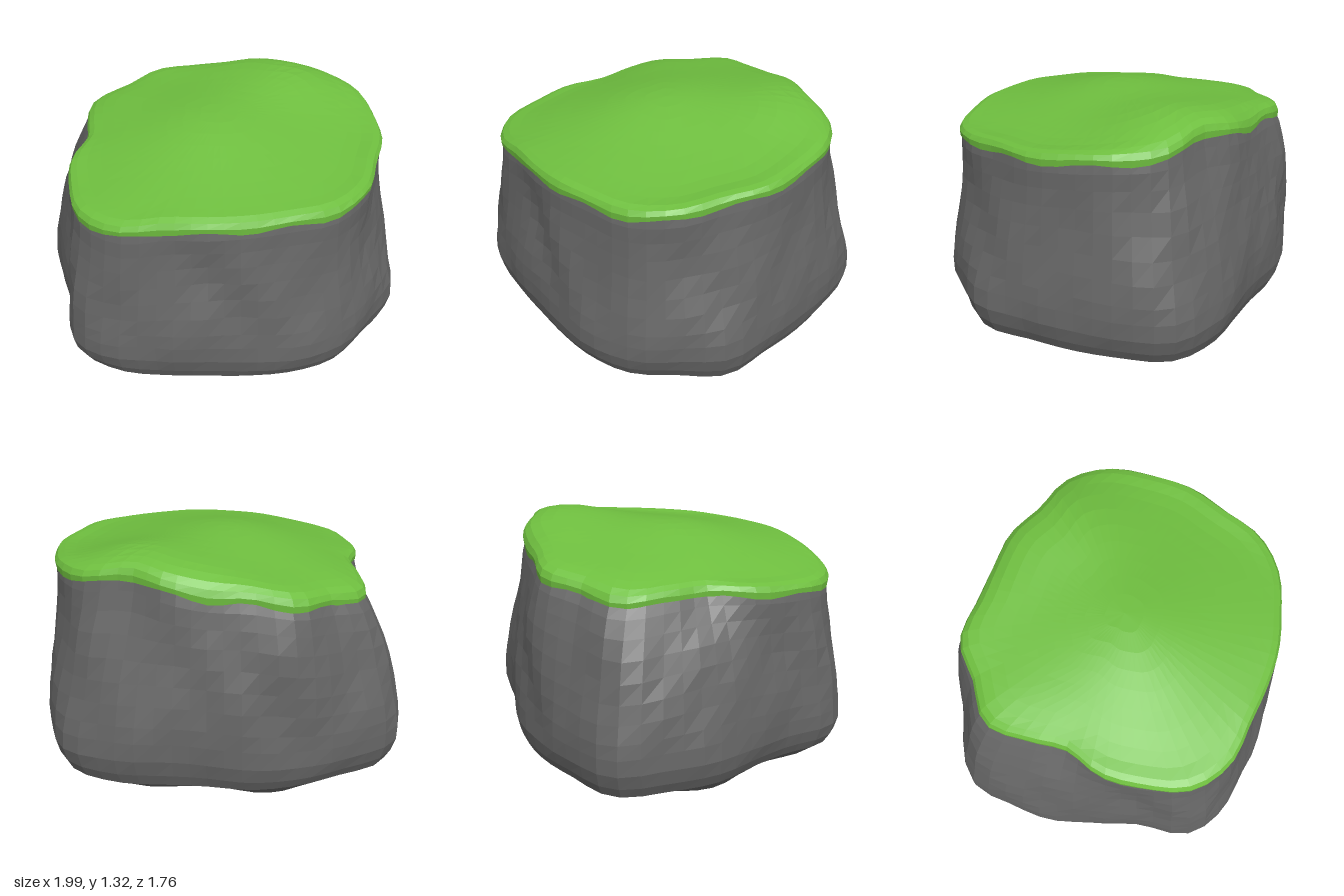
import * as THREE from 'three';

const SEG = 64;

// Outline radii every 15 degrees, starting at +x and turning towards +z
const baseRadius = [0.97, 1.03, 0.98, 0.98, 0.93, 0.88, 0.865, 0.905, 0.985, 1.02, 0.91, 0.9,
  0.97, 1.02, 1.1, 1.0, 0.95, 0.91, 0.865, 0.895, 0.99, 1.06, 1.0, 0.97];
const topRadius = [0.87, 0.85, 0.885, 0.875, 0.82, 0.8, 0.79, 0.81, 0.885, 0.9, 0.835, 0.785,
  0.71, 0.77, 0.865, 0.82, 0.845, 0.765, 0.75, 0.765, 0.76, 0.865, 0.89, 0.87];
// Height of the lower grass edge at the same angles
const lipHeight = [1.13, 1.12, 1.1, 1.08, 1.08, 1.08, 1.07, 1.06, 1.02, 1.02, 1.03, 1.05,
  1.06, 1.06, 1.05, 1.08, 1.11, 1.14, 1.15, 1.19, 1.22, 1.18, 1.17, 1.15];

// Smooth periodic interpolation of a ring of values
function ringValue(values, angle) {
  const n = values.length;
  const u = (angle / (Math.PI * 2)) * n;
  const i = Math.floor(u), t = u - i;
  const [a, b, c, d] = [-1, 0, 1, 2].map((k) => values[(i + k + n) % n]);
  return b + 0.5 * t * (c - a + t * (2 * a - 5 * b + 4 * c - d + t * (3 * (b - c) + d - a)));
}

const bump = (x, z, cx, cz, w) => Math.exp(-((x - cx) ** 2 + (z - cz) ** 2) / (w * w));

// Uneven stone: broad swells and smaller chisel marks
function roughness(a, y) {
  return 0.010 * Math.sin(6 * a + 1) * Math.sin(8 * y + 1)
    + 0.008 * Math.sin(11 * a + 2 * Math.sin(4 * y))
    + 0.007 * Math.sin(17 * a) * Math.sin(13 * y);
}

// Underside with blunt points and shallow ridges
function undersideY(x, z) {
  return 0.055 + 0.1 * (x * x + z * z)
    - 0.1 * bump(x, z, -0.58, -0.03, 0.2)
    - 0.05 * bump(x, z, 0.13, -0.3, 0.12)
    - 0.04 * bump(x, z, -0.3, -0.6, 0.15)
    - 0.055 * bump(x, z, -0.42, 0.4, 0.24)
    + 0.04 * bump(x, z, -0.2, -0.35, 0.14)
    + 0.014 * Math.sin(9 * x + 6 * z);
}

// Rolling grass: a low mound in the middle, highest at the back left
function meadowY(x, z) {
  return 1.22 - 0.1 * z + 0.04 * x - 0.13 * x * x
    + 0.07 * bump(x, z, -0.07, 0.08, 0.4)
    + 0.055 * bump(x, z, 0.38, -0.45, 0.3)
    - 0.04 * bump(x, z, -0.35, -0.65, 0.32);
}

// Loft through rings; point(row, angle) gives [x, y, z]
function loft(rows, point) {
  const pos = [], index = [];
  rows.forEach((row) => {
    for (let j = 0; j < SEG; j++) pos.push(...point(row, (j / SEG) * Math.PI * 2));
  });
  for (let i = 0; i < rows.length - 1; i++) {
    for (let j = 0; j < SEG; j++) {
      const a = i * SEG + j, c = i * SEG + (j + 1) % SEG, b = a + SEG, d = c + SEG;
      index.push(a, b, c, c, b, d);
    }
  }
  const g = new THREE.BufferGeometry();
  g.setAttribute('position', new THREE.Float32BufferAttribute(pos, 3));
  g.setIndex(index);
  g.computeVertexNormals();
  return g;
}

function makeRock() {
  // Underside rings (scale), then wall rings (height, share of base outline, scale)
  const rows = [0, 0.1, 0.2, 0.3, 0.4, 0.5, 0.6, 0.7, 0.8, 0.87].map((s) => ({ under: true, s }));
  [[0.17, 1, 0.95], [0.23, 1, 0.98], [0.31, 1, 1], [0.4, 0.97, 1], [0.48, 0.89, 1], [0.58, 0.74, 1],
    [0.68, 0.57, 1], [0.78, 0.4, 1], [0.88, 0.24, 1], [0.97, 0.1, 1], [1.05, 0.02, 1], [1.12, 0, 0.985]]
    .forEach(([y, w, s]) => rows.push({ y, w, s }));
  return loft(rows, (row, a) => {
    const base = ringValue(baseRadius, a), top = ringValue(topRadius, a);
    if (row.under) {
      const r = base * row.s, x = r * Math.cos(a), z = r * Math.sin(a);
      return [x, undersideY(x, z), z];
    }
    // The back bulges, the front stands more upright
    const w = Math.pow(row.w, 1 - 0.55 * Math.cos(a - 3.9));
    const t = (row.y - 0.17) / 0.95;
    const r = (top + (base - top) * w) * row.s + roughness(a, row.y) * Math.sin(Math.PI * t);
    const lip = ringValue(lipHeight, a) + 0.03;
    const y = 0.17 + t * (lip - 0.17) + 0.02 * Math.sin(4 * a + 3 * row.y) * Math.sin(Math.PI * t);
    return [r * Math.cos(a), y, r * Math.sin(a)];
  });
}

function makeGrass() {
  // Scale, height above the lip, share of the meadow height
  const rows = [[0.97, 0.01, 0], [1.005, 0, 0], [1.008, 0.03, 0], [0.99, 0.055, 0.1], [0.95, 0.07, 0.35],
    [0.88, 0.075, 0.7], [0.79, 0.08, 0.92], [0.68, 0, 1], [0.57, 0, 1], [0.46, 0, 1], [0.35, 0, 1],
    [0.24, 0, 1], [0.12, 0, 1], [0, 0, 1]];
  return loft(rows, ([s, lift, share], a) => {
    const r = ringValue(topRadius, a) * s;
    const x = r * Math.cos(a), z = r * Math.sin(a);
    // Only the hanging edge is ragged
    const ragged = 0.01 * Math.sin(13 * a) * Math.max(0, 1 - lift / 0.05);
    const rim = ringValue(lipHeight, a) + ragged + lift;
    return [x, rim + (meadowY(x, z) - rim) * share, z];
  });
}

export function createModel() {
  const group = new THREE.Group();
  group.name = 'grassyRock';
  [['rock', makeRock(), 0x666666], ['grassCap', makeGrass(), 0x6fbf3f]].forEach(([name, geometry, color]) => {
    const material = new THREE.MeshStandardMaterial({ color, flatShading: true, side: THREE.DoubleSide });
    const mesh = new THREE.Mesh(geometry, material);
    mesh.name = name;
    group.add(mesh);
  });
  return group;
}
